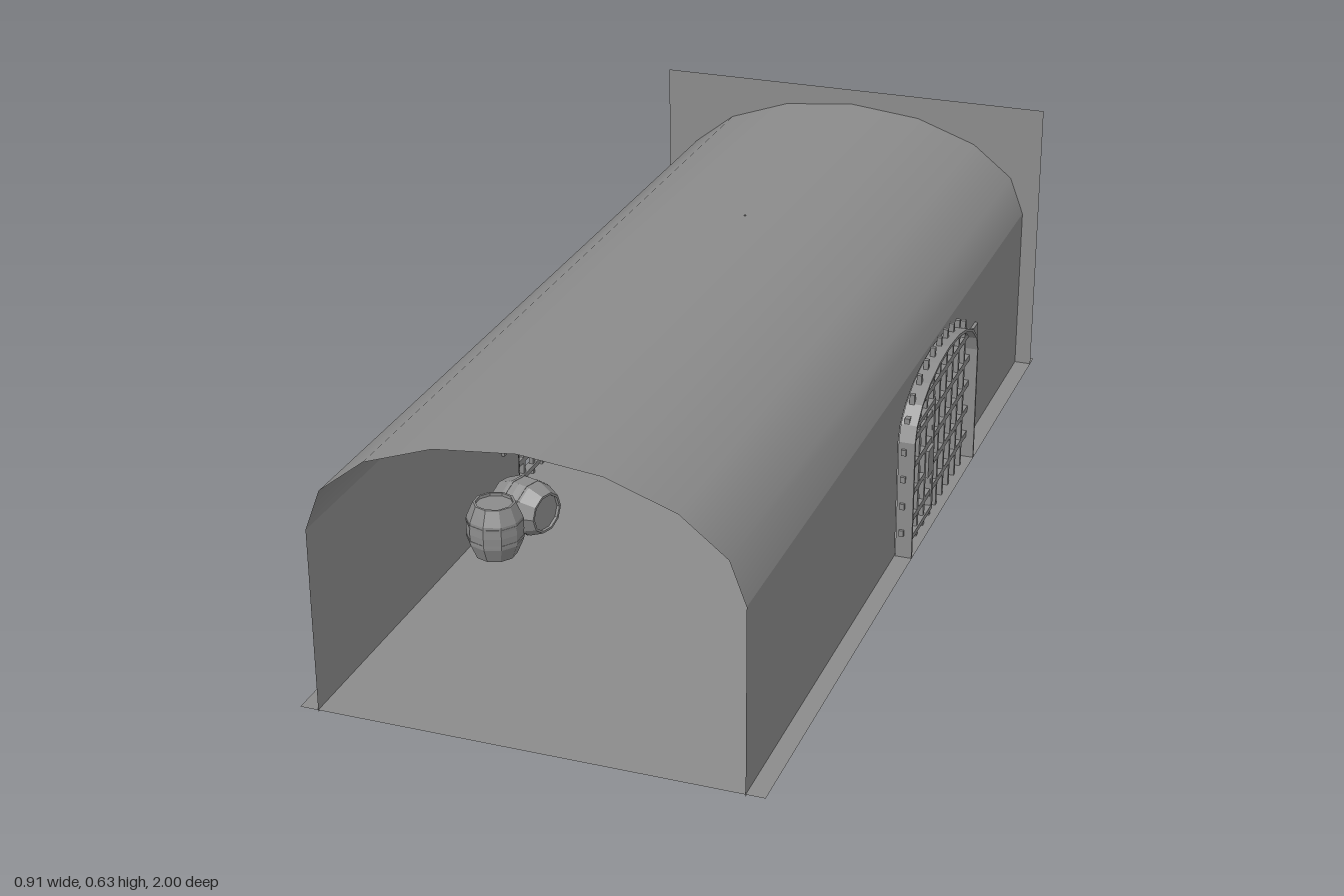
import * as THREE from 'three';

const GREY = 0x8b8b8b;
const solid = new THREE.MeshStandardMaterial({ color: GREY, flatShading: true });
const sheet = new THREE.MeshStandardMaterial({ color: GREY, side: THREE.DoubleSide });
const paleStone = new THREE.MeshStandardMaterial({ color: 0x979797, flatShading: true });

function add(parent, name, geo, x = 0, y = 0, z = 0, mat = solid) {
  const m = new THREE.Mesh(geo, mat);
  m.name = name;
  m.position.set(x, y, z);
  parent.add(m);
  return m;
}
function group(parent, name, x = 0, y = 0, z = 0, rotY = 0) {
  const g = new THREE.Group();
  g.name = name;
  g.position.set(x, y, z);
  g.rotation.y = rotY;
  parent.add(g);
  return g;
}
const box = (w, h, d) => new THREE.BoxGeometry(w, h, d);
const cyl = (r, h, n = 8) => new THREE.CylinderGeometry(r, r, h, n);
const lathe = (pts, n) => new THREE.LatheGeometry(pts.map(p => new THREE.Vector2(...p)), n);

// Round bar between two points
function rod(parent, name, a, b, r) {
  const p = new THREE.Vector3(...a), d = new THREE.Vector3(...b).sub(p);
  const m = add(parent, name, cyl(r, d.length(), 6));
  m.position.copy(p).addScaledVector(d, 0.5);
  m.quaternion.setFromUnitVectors(new THREE.Vector3(0, 1, 0), d.normalize());
}

// Tunnel and gateway dimensions
const W = 0.418, SPRING = 0.38, RISE = 0.22, Z0 = -0.985, Z1 = 1;
const GC = -0.188, GA = 0.25, GS = 0.262, GR = 0.108;

// Gateway outline in (z, y), widened by e
function gatePoints(e = 0) {
  const pts = [new THREE.Vector2(GC + GA + e, 0)];
  for (let i = 0; i <= 10; i++) {
    const t = Math.PI * i / 10;
    pts.push(new THREE.Vector2(GC + (GA + e) * Math.cos(t), GS + (GR + e) * Math.sin(t)));
  }
  pts.push(new THREE.Vector2(GC - GA - e, 0));
  return pts;
}

function buildTunnel(root) {
  add(root, 'floor', new THREE.PlaneGeometry(0.91, 2).rotateX(-Math.PI / 2), 0, 0.004, 0, sheet);
  add(root, 'backWall', new THREE.PlaneGeometry(0.91, 0.635), 0, 0.3175, -0.967, sheet);
  // Side walls cut out at the gateways
  const wall = new THREE.Shape([new THREE.Vector2(Z1, 0), new THREE.Vector2(Z1, SPRING),
    new THREE.Vector2(Z0, SPRING), new THREE.Vector2(Z0, 0), ...gatePoints().reverse()]);
  for (const s of [-1, 1])
    add(root, 'sideWall', new THREE.ShapeGeometry(wall).rotateY(-Math.PI / 2), s * W, 0, 0, sheet);
  // Barrel vault
  const vault = new THREE.PlaneGeometry(1, 1, 8, 1), p = vault.attributes.position;
  for (let i = 0; i < p.count; i++) {
    const t = Math.PI * (0.5 - p.getX(i));
    p.setXYZ(i, W * Math.cos(t), SPRING + RISE * Math.sin(t), p.getY(i) > 0 ? Z0 : Z1);
  }
  vault.computeVertexNormals();
  add(root, 'vault', vault, 0, 0, 0, sheet);
}

// Half-round window surround on the back wall
function buildWindow(root) {
  const half = (rx, ry, y) => Array.from({ length: 9 }, (_, i) => {
    const t = Math.PI * i / 8;
    return new THREE.Vector2(rx * Math.cos(t), y + ry * Math.sin(t));
  });
  const s = new THREE.Shape(half(0.146, 0.145, 0));
  s.holes.push(new THREE.Path(half(0.104, 0.11, 0.033)));
  add(root, 'windowFrame', new THREE.ExtrudeGeometry(s, { depth: 0.03, bevelEnabled: false }),
    0.004, 0.336, -0.982, paleStone);
}

// Barred gate with an inner door
function buildGate(root, side) {
  const g = group(root, side > 0 ? 'leftGate' : 'rightGate');
  const frame = new THREE.Shape([...gatePoints(0.002), ...gatePoints(-0.005).reverse()]);
  add(g, 'gateFrame', new THREE.ExtrudeGeometry(frame, { depth: 0.034, bevelEnabled: false })
    .rotateY(-Math.PI / 2), side * 0.437 + 0.017, 0.002, 0);
  const x = side * 0.432, t = 0.01;
  for (let i = 1; i < 10; i++) {
    const z = GC - GA + i * GA / 5, k = (z - GC) / GA;
    const top = GS + GR * Math.sqrt(1 - k * k) + 0.02;
    add(g, 'uprightBar', box(t, top, t), x, top / 2 + 0.002, z);
  }
  for (let y = 0.06; y < 0.35; y += 0.061) {
    const k = Math.max(0, (y - GS) / GR), half = GA * Math.sqrt(1 - k * k) + 0.008;
    add(g, 'crossBar', box(t, t * 1.3, half * 2), x, y, GC);
  }
  // Door leaf with lock
  for (const z of [0.05, -0.14]) add(g, 'doorStile', box(0.016, 0.255, 0.011), x, 0.147, z);
  for (const y of [0.022, 0.27]) add(g, 'doorRail', box(0.016, 0.011, 0.2), x, y, -0.045);
  add(g, 'lock', box(0.022, 0.062, 0.042), x, 0.143, -0.112);
  for (const y of [0.06, 0.235]) add(g, 'hinge', cyl(0.006, 0.03), x - side * 0.005, y, 0.052);
}

// Wall plate with ring, optionally with a hanging cuff
function buildShackle(root, x, y, z, rotY, cuff) {
  const g = group(root, 'shackle', x, y, z, rotY);
  add(g, 'plate', box(0.038, 0.055, 0.014));
  const ring = add(g, 'ring', new THREE.TorusGeometry(0.007, 0.002, 5, 10), 0, 0, 0.009);
  ring.rotation.y = Math.PI / 2;
  if (!cuff) return;
  rod(g, 'chain', [0, -0.006, 0.012], [0, -0.02, 0.013], 0.002);
  const c = add(g, 'cuff', new THREE.TorusGeometry(0.019, 0.005, 6, 12), 0, -0.024, 0.014);
  c.rotation.x = -0.15;
}

function buildBarrel(root, x, z, lying) {
  const g = group(root, 'barrel', x, 0.077, z);
  if (lying) g.rotation.set(0, -0.31, Math.PI / 2);
  add(g, 'staves', lathe([[0, -0.052], [0.039, -0.052], [0.039, -0.0585], [0.044, -0.0585], [0.058, -0.026],
    [0.0595, 0], [0.058, 0.026], [0.044, 0.0585], [0.039, 0.0585], [0.039, 0.052], [0, 0.052]], 10));
  for (const s of [-1, 1])
    add(g, 'hoop', lathe([[0.059, -0.003], [0.0598, -0.003], [0.0598, 0.003], [0.059, 0.003]], 10), 0, s * 0.018, 0);
}

function buildChandelier(root) {
  const g = group(root, 'chandelier', 0, 0, -0.2);
  add(g, 'rim', lathe([[0.104, 0.448], [0.124, 0.448], [0.124, 0.47], [0.104, 0.47], [0.104, 0.448]], 16));
  for (let i = 0; i < 8; i++) {
    const a = (i + 0.3) * Math.PI / 4, c = Math.cos(a), s = Math.sin(a);
    rod(g, 'strut', [0.108 * c, 0.468, 0.108 * s], [0.004 * c, 0.54, 0.004 * s], 0.003);
  }
  // Candles in uneven clusters: angle, height
  for (const [a, h] of [[2.8, 0.03], [1.95, 0.025], [1.85, 0.02], [1.75, 0.025], [0.75, 0.025],
    [0.65, 0.018], [-0.7, 0.022], [-1.7, 0.025], [-1.82, 0.02], [-2.4, 0.018]])
    add(g, 'candle', cyl(0.006, h), 0.113 * Math.cos(a), 0.47 + h / 2, 0.113 * Math.sin(a));
  add(g, 'hub', cyl(0.026, 0.005), 0, 0.543, 0);
  add(g, 'hangingRing', new THREE.TorusGeometry(0.017, 0.003, 6, 14), 0, 0.57, 0);
  rod(g, 'chain', [0, 0.545, 0], [0, 0.602, 0], 0.002);
}

function buildPost(root) {
  const g = group(root, 'whippingPost', 0, 0, -0.85);
  add(g, 'base', cyl(0.088, 0.025, 16), 0, 0.032, 0);
  add(g, 'post', cyl(0.0175, 0.265, 4), 0, 0.177, 0).rotation.y = 0.36;
}

function buildTable(root) {
  const g = group(root, 'table', 0.198, 0, -0.363);
  add(g, 'tableTop', box(0.112, 0.014, 0.155), 0, 0.078, 0);
  for (const s of [-1, 1]) for (const z of [-0.05, 0.05]) {
    const leg = new THREE.Shape([[0.067, 0], [0.043, 0], [0.014, 0.053], [0.035, 0.053]]
      .map(([x, y]) => new THREE.Vector2(s * x, y)));
    add(g, 'leg', new THREE.ExtrudeGeometry(leg, { depth: 0.026, bevelEnabled: false }), 0, 0.018, z - 0.013);
  }
  // Spiked ball with chain and handle
  const ball = new THREE.Vector3(0.012, 0.101, 0.02);
  add(g, 'spikedBall', new THREE.IcosahedronGeometry(0.011, 1), ...ball);
  for (let i = 0; i < 14; i++) {
    const y = 1 - (i + 0.5) / 7, r = Math.sqrt(1 - y * y), a = i * 2.4;
    const d = new THREE.Vector3(r * Math.cos(a), y, r * Math.sin(a));
    const spike = add(g, 'spike', new THREE.ConeGeometry(0.003, 0.008, 5));
    spike.position.copy(ball).addScaledVector(d, 0.013);
    spike.quaternion.setFromUnitVectors(new THREE.Vector3(0, 1, 0), d);
  }
  rod(g, 'ballChain', [0.005, 0.089, 0.02], [-0.012, 0.087, 0], 0.0018);
  rod(g, 'handle', [-0.012, 0.088, 0], [-0.03, 0.088, -0.05], 0.004);
}

function buildCage(root) {
  const g = group(root, 'cage', 0.356, 0, -0.7), R = 0.052;
  add(g, 'cageFloor', cyl(0.057, 0.018, 16), 0, 0.027, 0);
  const hoop = add(g, 'cageHoop', new THREE.TorusGeometry(R, 0.004, 5, 20), 0, 0.191, 0);
  hoop.rotation.x = Math.PI / 2;
  for (let i = 0; i < 10; i++) {
    const a = i * Math.PI / 5;
    const path = [[R, 0.03], [R, 0.12], [R, 0.19], [R * 0.88, 0.217], [R * 0.55, 0.237], [0, 0.245]]
      .map(([r, y]) => new THREE.Vector3(r * Math.cos(a), y, r * Math.sin(a)));
    add(g, 'cageBar', new THREE.TubeGeometry(new THREE.CatmullRomCurve3(path), 18, 0.003, 5));
  }
  add(g, 'cap', cyl(0.01, 0.006), 0, 0.245, 0);
  add(g, 'cageRing', new THREE.TorusGeometry(0.006, 0.0018, 5, 10), 0, 0.253, 0);
}

export function createModel() {
  const root = new THREE.Group();
  root.name = 'dungeonCorridor';
  buildTunnel(root);
  buildWindow(root);
  for (const s of [-1, 1]) buildGate(root, s);
  buildShackle(root, -0.285, 0.22, -0.967, 0, false);
  buildShackle(root, -W, 0.25, -0.66, Math.PI / 2, true);
  buildShackle(root, -W, 0.16, 0.13, Math.PI / 2, false);
  buildShackle(root, W, 0.25, -0.53, -Math.PI / 2, true);
  buildBarrel(root, -0.346, 0.35, false);
  buildBarrel(root, -0.326, 0.24, true);
  buildChandelier(root);
  buildPost(root);
  buildTable(root);
  buildCage(root);
  return root;
}
